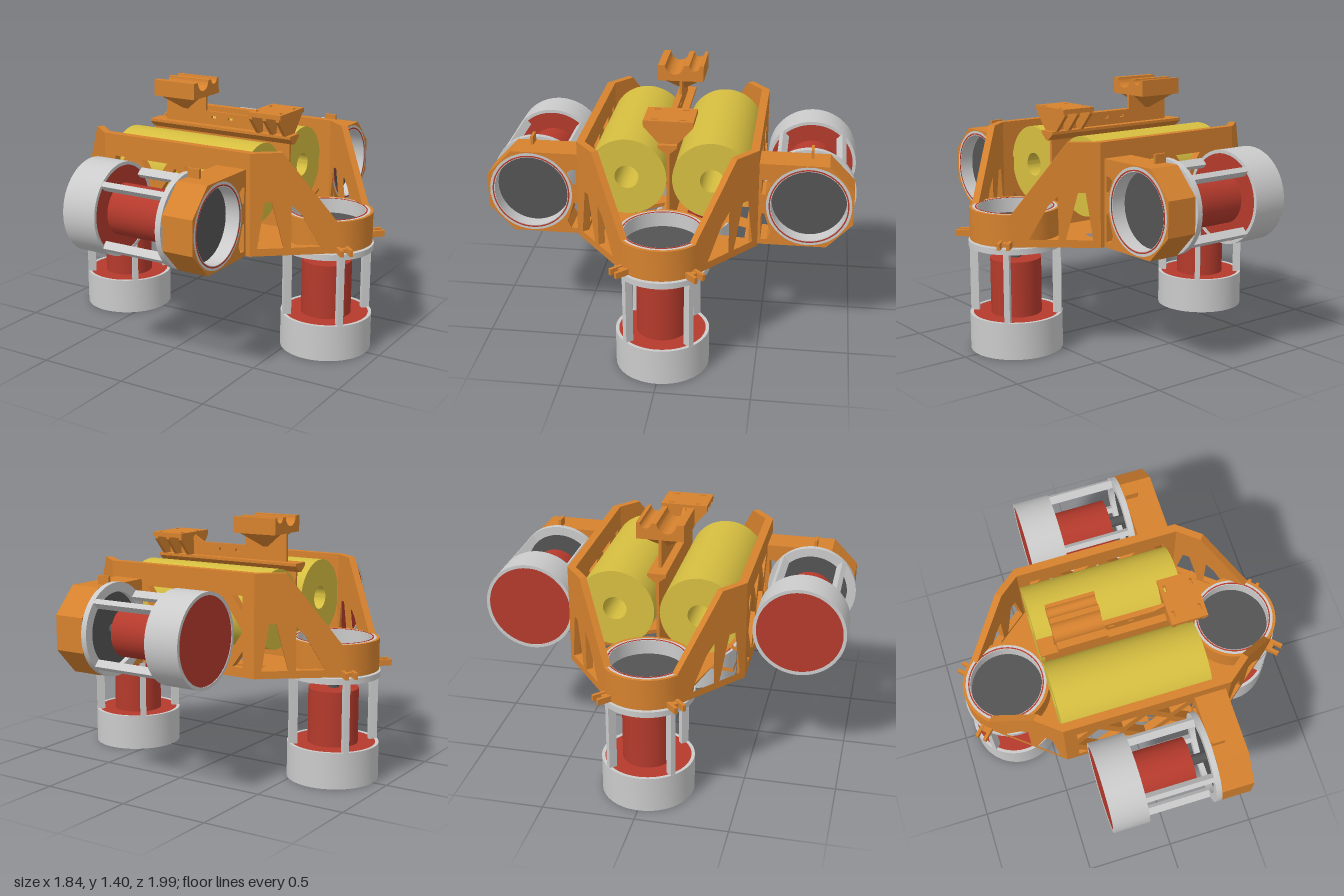
import * as THREE from 'three';
import { toCreasedNormals } from 'three/addons/utils/BufferGeometryUtils.js';

const mat = (name, color) => new THREE.MeshStandardMaterial({ name, color });

export function createModel() {
  const orange = mat('frame orange', 0xd6822e);
  const yellow = mat('tank yellow', 0xd6be40);
  const red = mat('motor red', 0xb53a2c);
  const grey = mat('housing grey', 0xcbcbcb);
  const dark = mat('dark grey', 0x545454);
  const model = new THREE.Group();
  model.name = 'underwaterVehicle';

  const add = (parent, name, geo, material, x = 0, y = 0, z = 0) => {
    const m = new THREE.Mesh(geo, material);
    m.name = name;
    m.position.set(x, y, z);
    parent.add(m);
    return m;
  };
  const box = (w, h, d) => new THREE.BoxGeometry(w, h, d);
  const poly = (pts, Type = THREE.Shape) => new Type(pts.map(p => new THREE.Vector2(p[0], p[1])));
  const circle = (x, y, r) => new THREE.Path().absarc(x, y, r, 0, Math.PI * 2, true);
  const extrude = (shape, depth, holes = []) => {
    shape.holes.push(...holes);
    const g = new THREE.ExtrudeGeometry(shape, { depth, bevelEnabled: false, curveSegments: 32 });
    return toCreasedNormals(g, 0.5);
  };
  // Profile drawn in (z, y) and swept along x
  const sweepX = (shape, x0, x1, holes) =>
    extrude(shape, x1 - x0, holes).rotateY(Math.PI / 2).translate(x0, 0, 0);
  // Hollow cylinder standing between y0 and y1
  const pipe = (ri, ro, y0, y1) => toCreasedNormals(new THREE.LatheGeometry(
    [[ri, y0], [ro, y0], [ro, y1], [ri, y1], [ri, y0]].map(p => new THREE.Vector2(...p)), 56), 0.5);
  const rod = (r, y0, y1) => new THREE.CylinderGeometry(r, r, y1 - y0, 48).translate(0, (y0 + y1) / 2, 0);

  // Thruster: motor housing at the base, nozzle at the top
  const thruster = name => {
    const g = new THREE.Group();
    g.name = name;
    add(g, 'housing', pipe(0.232, 0.25, 0, 0.2), grey);
    add(g, 'motorBase', rod(0.232, 0.003, 0.197), red);
    add(g, 'motor', rod(0.137, 0.19, 0.5), red);
    add(g, 'shaft', rod(0.028, 0.5, 0.61), dark);
    add(g, 'flange', pipe(0.2, 0.25, 0.57, 0.602), grey);
    add(g, 'nozzle', pipe(0.2, 0.226, 0.6, 0.78), grey);
    add(g, 'nozzleRim', pipe(0.204, 0.211, 0.779, 0.782), red);
    add(g, 'propellerDisc', rod(0.201, 0.6, 0.7), dark);
    for (let i = 0; i < 4; i++) {
      const a = Math.PI / 4 + i * Math.PI / 2;
      const s = add(g, 'strut', box(0.045, 0.39, 0.03), grey, Math.cos(a) * 0.226, 0.385, Math.sin(a) * 0.226);
      s.rotation.y = -a;
    }
    return g;
  };

  // Base plate with cut-outs
  const plate = new THREE.Shape();
  plate.moveTo(0.46, 0.48);
  plate.lineTo(0.82, 0.19);
  plate.absarc(0.67, 0, 0.242, 0.9, -0.9, true);
  plate.lineTo(0.46, -0.48);
  plate.lineTo(-0.46, -0.48);
  plate.absarc(-0.67, 0, 0.242, 0.9 - Math.PI, Math.PI - 0.9, true);
  const plateHoles = [circle(0.67, 0, 0.222), circle(-0.67, 0, 0.222)];
  for (const sx of [1, -1]) for (const sz of [1, -1]) {
    const hole = pts => plateHoles.push(poly(pts.map(p => [p[0] * sx, p[1] * sz]), THREE.Path));
    hole([[0.04, 0.07], [0.16, 0.07], [0.25, 0.22], [0.13, 0.22]]);
    hole([[0.04, 0.3], [0.12, 0.3], [0.19, 0.41], [0.04, 0.41]]);
    hole([[0.25, 0.3], [0.4, 0.26], [0.42, 0.41], [0.3, 0.41]]);
  }
  add(model, 'basePlate', extrude(plate, 0.022, plateHoles).rotateX(Math.PI / 2), orange, 0, 0.632, 0);

  // Truss side walls and sloping corner walls, one set per side
  const trussHoles = [];
  for (const x of [-0.27, 0, 0.27])
    trussHoles.push([[x - 0.12, 0.85], [x, 0.68], [x + 0.12, 0.85], [x, 1.02]]);
  for (const s of [1, -1]) {
    const y = d => 0.85 + s * d;
    for (const x of [-0.135, 0.135])
      trussHoles.push([[x - 0.085, y(0.19)], [x + 0.085, y(0.19)], [x, y(0.07)]]);
    for (const e of [1, -1])
      trussHoles.push([[e * 0.39, y(0.1)], [e * 0.39, y(0.19)], [e * 0.325, y(0.19)]]);
  }
  const L = Math.hypot(0.36, 0.29), angle = Math.atan2(0.29, 0.36), k = L / 0.36;
  for (const turn of [0, Math.PI]) {
    const side = new THREE.Group();
    side.name = turn ? 'backFrame' : 'frontFrame';
    side.rotation.y = turn;
    add(side, 'sideWall', extrude(
      poly([[-0.46, 0.61], [0.46, 0.61], [0.46, 1.16], [-0.46, 1.16]]), 0.045,
      trussHoles.map(h => poly(h, THREE.Path))), orange, 0, 0, 0.435);
    for (const sx of [1, -1]) {
      const loc = pts => pts.map(p => [sx * p[0] * k, p[1]]);
      const wall = extrude(
        poly(loc([[0, 0.61], [0.36, 0.61], [0.36, 0.78], [0.13, 1.16], [0, 1.16]])), 0.038, [
          poly(loc([[0.03, 0.65], [0.14, 0.65], [0.09, 0.9], [0.06, 0.9]]), THREE.Path),
          poly(loc([[0.17, 0.65], [0.29, 0.65], [0.21, 0.83], [0.17, 0.88]]), THREE.Path)]);
      wall.translate(0, 0, -0.038);
      add(side, 'cornerWall', wall, orange, sx * 0.46, 0, 0.48).rotation.y = sx * angle;
    }
    model.add(side);
  }

  // Upright thrusters in round collars with clip tabs
  for (const sx of [1, -1]) {
    const t = thruster(sx > 0 ? 'leftLiftThruster' : 'rightLiftThruster');
    t.position.x = sx * 0.67;
    model.add(t);
    add(model, 'thrusterCollar', pipe(0.225, 0.242, 0.61, 0.78), orange, sx * 0.67);
    for (const sz of [1, -1]) {
      const clip = new THREE.Group();
      clip.name = 'collarClip';
      clip.position.set(sx * 0.865, 0.628, sz * 0.195);
      clip.rotation.y = -Math.atan2(sz, sx);
      for (const o of [-0.025, 0.025]) add(clip, 'prong', box(0.08, 0.034, 0.018), orange, 0, 0, o);
      add(clip, 'clipBridge', box(0.03, 0.02, 0.05), orange, -0.02);
      model.add(clip);
    }
  }

  // Horizontal thrusters in angular side mounts
  for (const s of [1, -1]) {
    const t = thruster(s > 0 ? 'frontThruster' : 'backThruster');
    t.rotation.z = -Math.PI / 2;
    t.position.set(-0.345, 0.843, s * 0.745);
    model.add(t);
    const p = pts => pts.map(q => [-s * q[0], q[1]]);
    const mount = poly(p([[0.47, 0.61], [0.845, 0.61], [0.98, 0.75], [0.98, 0.935], [0.845, 1.075], [0.47, 1.075]]));
    add(model, 'sideMount', sweepX(mount, 0.26, 0.435, [
      circle(-s * 0.745, 0.843, 0.225),
      poly(p([[0.495, 0.9], [0.515, 0.9], [0.545, 0.965], [0.52, 0.985], [0.495, 0.985]]), THREE.Path),
      poly(p([[0.495, 0.79], [0.512, 0.79], [0.55, 0.68], [0.53, 0.64], [0.495, 0.64]]), THREE.Path)]), orange);
    add(model, 'mountTab', box(0.07, 0.05, 0.015), orange, 0.298, 1.098, s * 0.752);
  }

  // Twin hollow tanks
  for (const s of [1, -1])
    add(model, 'tank', pipe(0.065, 0.215, -0.45, 0.385).rotateZ(-Math.PI / 2), yellow, 0, 0.938, s * 0.23);

  // Central spine with top rail
  const slot = (x, y) => poly([[x, y], [x + 0.03, y], [x + 0.03, y + 0.015], [x, y + 0.015]], THREE.Path);
  add(model, 'spine', extrude(poly([[-0.43, 0.62], [0.43, 0.62], [0.43, 1.27], [0.24, 1.27], [0.18, 1.235],
    [-0.105, 1.235], [-0.105, 1.33], [-0.37, 1.33], [-0.37, 1.16], [-0.43, 1.16]]), 0.016,
  [slot(-0.07, 1.195), slot(0.04, 1.195)]), orange, 0, 0, -0.008);
  add(model, 'topRail', sweepX(poly([[-0.05, 1.16], [-0.05, 1.145], [-0.008, 1.11], [0.008, 1.11],
    [0.05, 1.145], [0.05, 1.16]]), -0.455, 0.455), orange);

  // Flat platform on ribs, with screw slots
  const top = poly([[0.24, -0.13], [0.44, -0.13], [0.44, 0.135], [0.24, 0.135]]);
  const screw = [];
  for (const x of [0.26, 0.405]) for (const z of [-0.09, 0.06])
    screw.push(poly([[x, z], [x + 0.015, z], [x + 0.015, z + 0.035], [x, z + 0.035]], THREE.Path));
  add(model, 'platform', extrude(top, 0.025, screw).rotateX(-Math.PI / 2), orange, 0, 1.263, 0);
  for (const x of [0.245, 0.33, 0.41])
    add(model, 'platformRib', sweepX(poly([[-0.13, 1.265], [-0.13, 1.25], [-0.045, 1.155],
      [0.045, 1.155], [0.13, 1.25], [0.13, 1.265]]), x, x + 0.02), orange);

  // Saddle clamp with two round grooves on a tapered foot
  const saddle = new THREE.Shape();
  saddle.moveTo(-0.128, 1.315);
  saddle.lineTo(0.128, 1.315);
  saddle.lineTo(0.128, 1.405);
  saddle.lineTo(0.108, 1.405);
  saddle.absarc(0.078, 1.405, 0.03, 0, -Math.PI, true);
  saddle.lineTo(0.018, 1.405);
  saddle.absarc(-0.035, 1.405, 0.053, 0, -Math.PI, true);
  saddle.lineTo(-0.128, 1.405);
  add(model, 'saddleClamp', sweepX(saddle, -0.37, -0.105), orange);
  const foot = new THREE.CylinderGeometry(1, 0.12, 0.08, 4, 1).toNonIndexed();
  foot.rotateY(Math.PI / 4).scale(0.15, 1, 0.16);
  foot.computeVertexNormals();
  add(model, 'saddleFoot', foot, orange, -0.237, 1.276, 0);

  return model;
}
